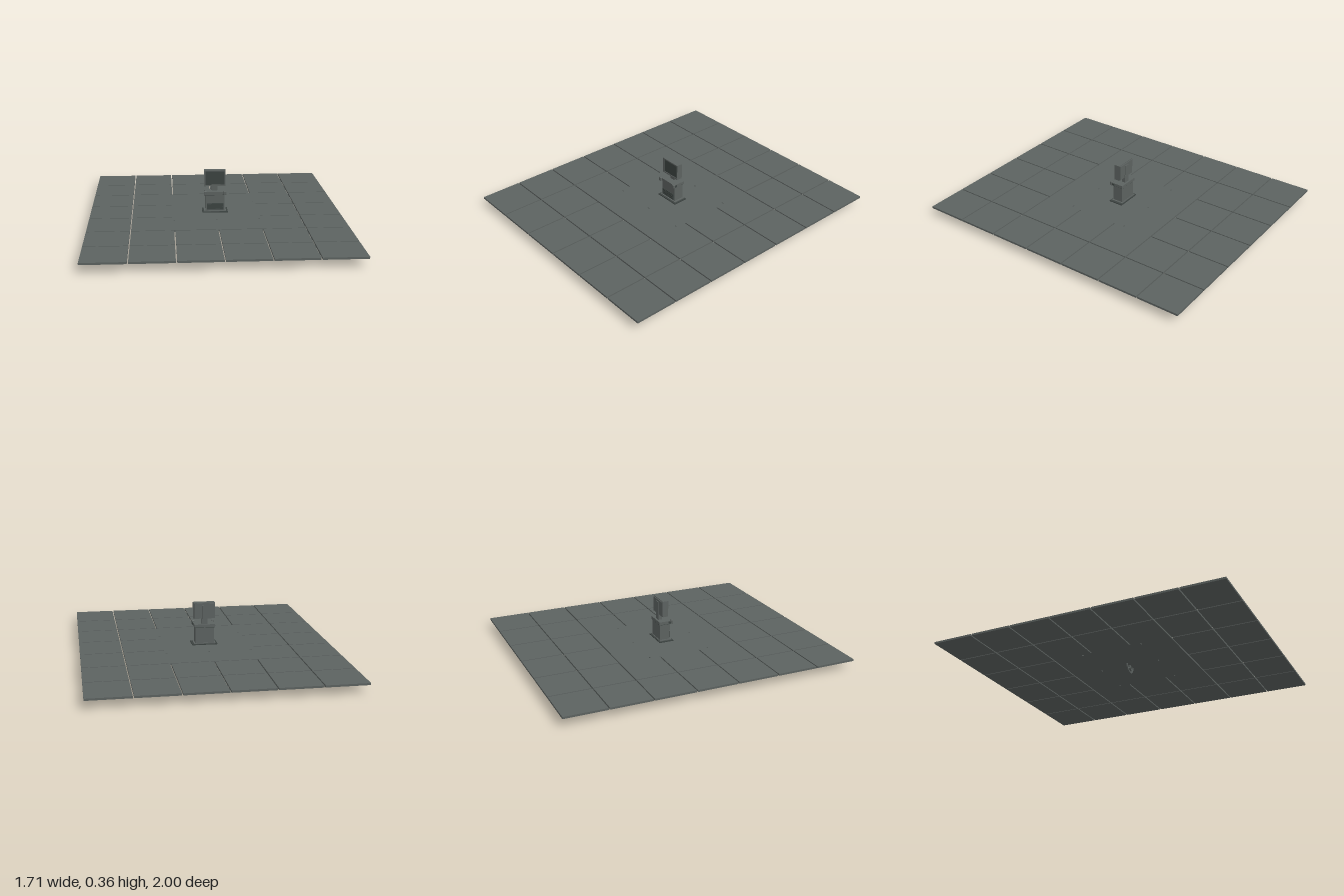
import * as THREE from 'three';
import { RoundedBoxGeometry } from 'three/addons/geometries/RoundedBoxGeometry.js';

export function createModel() {
  const model = new THREE.Group();
  model.name = 'consoleOnTiledFloor';
  const mat = (name, color) => {
    const m = new THREE.MeshStandardMaterial({ color });
    m.name = name;
    return m;
  };
  const grey = mat('greenish grey metal', 0x5c6260);
  const dark = mat('dark panel', 0x3c4341);

  const add = (name, geo, material, x = 0, y = 0, z = 0, parent = model) => {
    const m = new THREE.Mesh(geo, material);
    m.name = name;
    m.position.set(x, y, z);
    parent.add(m);
    return m;
  };
  // Box given by its limits on each axis
  const box = (name, [x0, x1], [y0, y1], [z0, z1], material = grey, parent = model) =>
    add(name, new THREE.BoxGeometry(x1 - x0, y1 - y0, z1 - z0), material,
      (x0 + x1) / 2, (y0 + y1) / 2, (z0 + z1) / 2, parent);

  // Floor: tiles with narrow open joints around one large centre slab
  const floor = new THREE.Group();
  floor.name = 'floor';
  model.add(floor);
  const T = 2 / 7, gap = 0.004, bottom = 0.055, top = 0.068;
  for (let row = -3; row <= 3; row++) {
    for (let col = -3; col < 3; col++) {
      if (Math.abs(row) <= 1 && col >= -2 && col <= 1) continue;
      const x0 = col * T, z0 = (row - 0.5) * T;
      box('floorTile',
        [x0 + (col === -3 ? 0 : gap), x0 + T - (col === 2 ? 0 : gap)],
        [bottom, top],
        [z0 + (row === -3 ? 0 : gap), z0 + T - (row === 3 ? 0 : gap)], grey, floor);
    }
  }

  // Centre slab with four side slots and six small bolt holes
  const X = 2 * T - gap, Z = 1.5 * T - gap, s = T / 2, inner = 0.3;
  const slab = new THREE.Shape();
  const outline = [];
  for (const [sx, order] of [[1, [-1, 1]], [-1, [1, -1]]]) {
    outline.push([sx * X, order[0] * Z]);
    for (const o of order) {
      const a = o * s - sx * gap, b = o * s + sx * gap;
      outline.push([sx * X, a], [sx * inner, a], [sx * inner, b], [sx * X, b]);
    }
    outline.push([sx * X, order[1] * Z]);
  }
  slab.setFromPoints(outline.map(([x, z]) => new THREE.Vector2(x, z)));
  for (const x of [-T, 0, T]) {
    for (const z of [-0.214, 0.214]) {
      const hole = new THREE.Path();
      hole.absellipse(x, z, 0.008, 0.005, 0, Math.PI * 2, true);
      slab.holes.push(hole);
    }
  }
  const slabGeo = new THREE.ExtrudeGeometry(slab, { depth: top - bottom, bevelEnabled: false, curveSegments: 4 });
  slabGeo.rotateX(-Math.PI / 2);
  add('centreSlab', slabGeo, grey, 0, bottom, 0, floor);

  // Spoked wheel below the floor
  const wheel = new THREE.Group();
  wheel.name = 'wheel';
  wheel.position.set(0, 0.048, 0);
  model.add(wheel);
  const rim = new THREE.Shape().absarc(0, 0, 0.048, 0, Math.PI * 2);
  rim.holes.push(new THREE.Path().absarc(0, 0, 0.037, 0, Math.PI * 2, true));
  add('wheelRim', new THREE.ExtrudeGeometry(rim, { depth: 0.008, bevelEnabled: false, curveSegments: 32 }),
    grey, 0, 0, -0.004, wheel);
  for (const side of [-1, 1]) {
    add('wheelSpoke', new THREE.BoxGeometry(0.008, 0.08, 0.006), grey, 0, 0, 0, wheel).rotation.z = side * Math.PI / 4;
  }
  add('wheelHub', new THREE.CylinderGeometry(0.012, 0.012, 0.009, 16).rotateX(Math.PI / 2), grey, 0, 0, 0, wheel);

  // Pedestal: foot plate, body, vent panel and collar
  box('footPlate', [-0.088, 0.088], [0.068, 0.074], [-0.051, 0.051], dark);
  box('footStep', [-0.076, 0.076], [0.074, 0.08], [-0.045, 0.043]);
  box('body', [-0.065, 0.065], [0.08, 0.192], [-0.04, 0.034]);
  box('frontPanel', [-0.057, 0.057], [0.086, 0.13], [0.034, 0.039], dark);
  for (let i = 0; i < 4; i++) {
    const y = 0.092 + i * 0.01;
    box('ventSlat', [-0.053, 0.053], [y, y + 0.003], [0.039, 0.041], dark);
  }
  box('collar', [-0.072, 0.072], [0.192, 0.212], [-0.045, 0.042]);
  box('collarSeam', [-0.068, 0.068], [0.188, 0.192], [-0.042, 0.037], dark);

  // Handles at the front corners of the collar
  for (const side of [-1, 1]) {
    add('handle', new RoundedBoxGeometry(0.02, 0.028, 0.016, 2, 0.004), grey, side * 0.068, 0.206, 0.047);
    box('handleArm', [side * 0.068 - 0.008, side * 0.068 + 0.008], [0.195, 0.209], [0.02, 0.045], dark);
  }

  // Neck and back spine carrying the monitor
  box('neck', [-0.02, 0.02], [0.212, 0.27], [-0.032, -0.004]);
  box('backSpine', [-0.016, 0.016], [0.25, 0.342], [-0.034, -0.026]);

  // Monitor: casing, raised bezel and dark screen
  box('monitorCase', [-0.07, 0.07], [0.252, 0.355], [-0.028, 0.012]);
  const [w, y0, y1, b] = [0.074, 0.248, 0.36, 0.009];
  for (const side of [-1, 1]) {
    const x = side * (w - b / 2);
    box('bezelSide', [x - b / 2, x + b / 2], [y0, y1], [-0.022, 0.018]);
  }
  box('bezelTop', [-w + b, w - b], [y1 - b, y1], [-0.022, 0.018]);
  box('bezelBottom', [-w + b, w - b], [y0, y0 + b], [-0.022, 0.018]);
  box('screen', [-w + b, w - b], [y0 + b, y1 - b], [0.012, 0.014], dark);
  return model;
}
